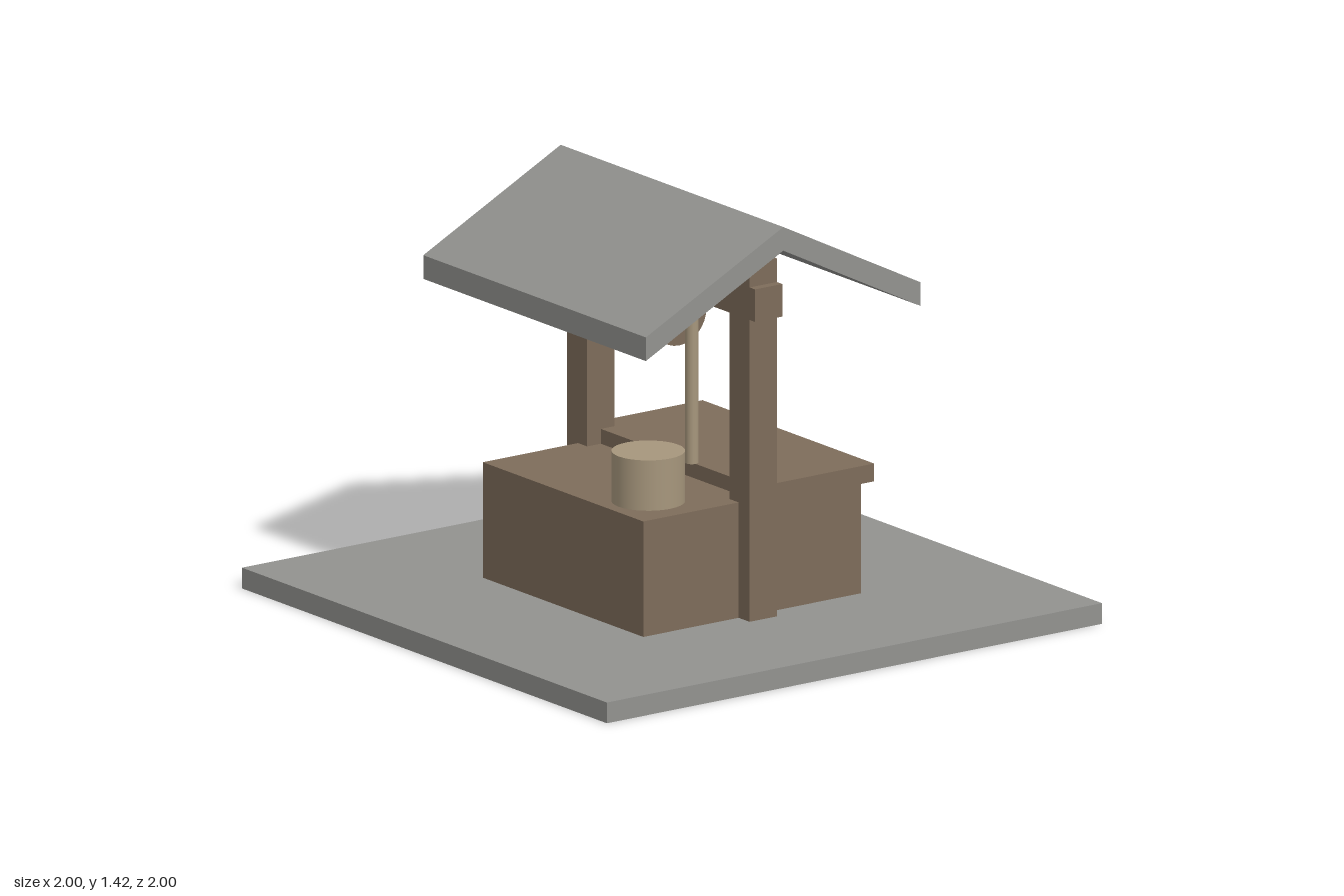
import * as THREE from 'three';

const mat = (name, color) => {
  const m = new THREE.MeshStandardMaterial({ color });
  m.name = name;
  return m;
};

export function createModel() {
  const stone = mat('grey stone', 0x92928f);
  const wood = mat('brown wood', 0x7d6c5a);
  const paleWood = mat('pale wood', 0xa6967c);
  const well = new THREE.Group();
  well.name = 'well';

  const add = (name, geometry, material, x, y, z) => {
    const mesh = new THREE.Mesh(geometry, material);
    mesh.name = name;
    mesh.position.set(x, y, z);
    well.add(mesh);
    return mesh;
  };
  // box given by its lowest and highest corners
  const box = (name, material, [x0, y0, z0], [x1, y1, z1]) =>
    add(name, new THREE.BoxGeometry(x1 - x0, y1 - y0, z1 - z0), material,
      (x0 + x1) / 2, (y0 + y1) / 2, (z0 + z1) / 2);

  // ground slab, well body and half lid over the rear
  box('slab', stone, [-1, 0, -1], [1, 0.07, 1]);
  box('wellBody', wood, [-0.44, 0.07, -0.44], [0.44, 0.46, 0.44]);
  box('lid', wood, [-0.47, 0.45, -0.47], [0.47, 0.51, 0]);

  // posts and crossbeam
  for (const side of [-1, 1]) {
    const post = new THREE.BoxGeometry(0.11, 1.21, 0.11);
    add(side > 0 ? 'leftPost' : 'rightPost', post, wood, side * 0.445, 0.675, 0);
  }
  box('crossbeam', wood, [-0.53, 1.09, -0.055], [0.53, 1.2, 0.055]);

  // pulley wheel, rope and bucket
  const pulley = add('pulley', new THREE.CylinderGeometry(0.11, 0.11, 0.08, 32), wood, 0, 1, 0);
  pulley.rotation.z = Math.PI / 2;
  add('rope', new THREE.CylinderGeometry(0.022, 0.022, 0.49, 16), paleWood, 0.108, 0.755, 0);
  add('bucket', new THREE.CylinderGeometry(0.12, 0.12, 0.17, 32), paleWood, 0.25, 0.545, 0.28);

  // gabled roof: chevron profile drawn across z, extruded along x
  const profile = new THREE.Shape([
    [-0.555, 1.06], [0, 1.34], [0.555, 1.06], [0.555, 1.14], [0, 1.42], [-0.555, 1.14],
  ].map(([z, y]) => new THREE.Vector2(z, y)));
  const roof = new THREE.ExtrudeGeometry(profile, { depth: 1.22, bevelEnabled: false });
  roof.translate(0, 0, -0.61).rotateY(Math.PI / 2);
  add('roof', roof, stone, 0, 0, 0);

  return well;
}
